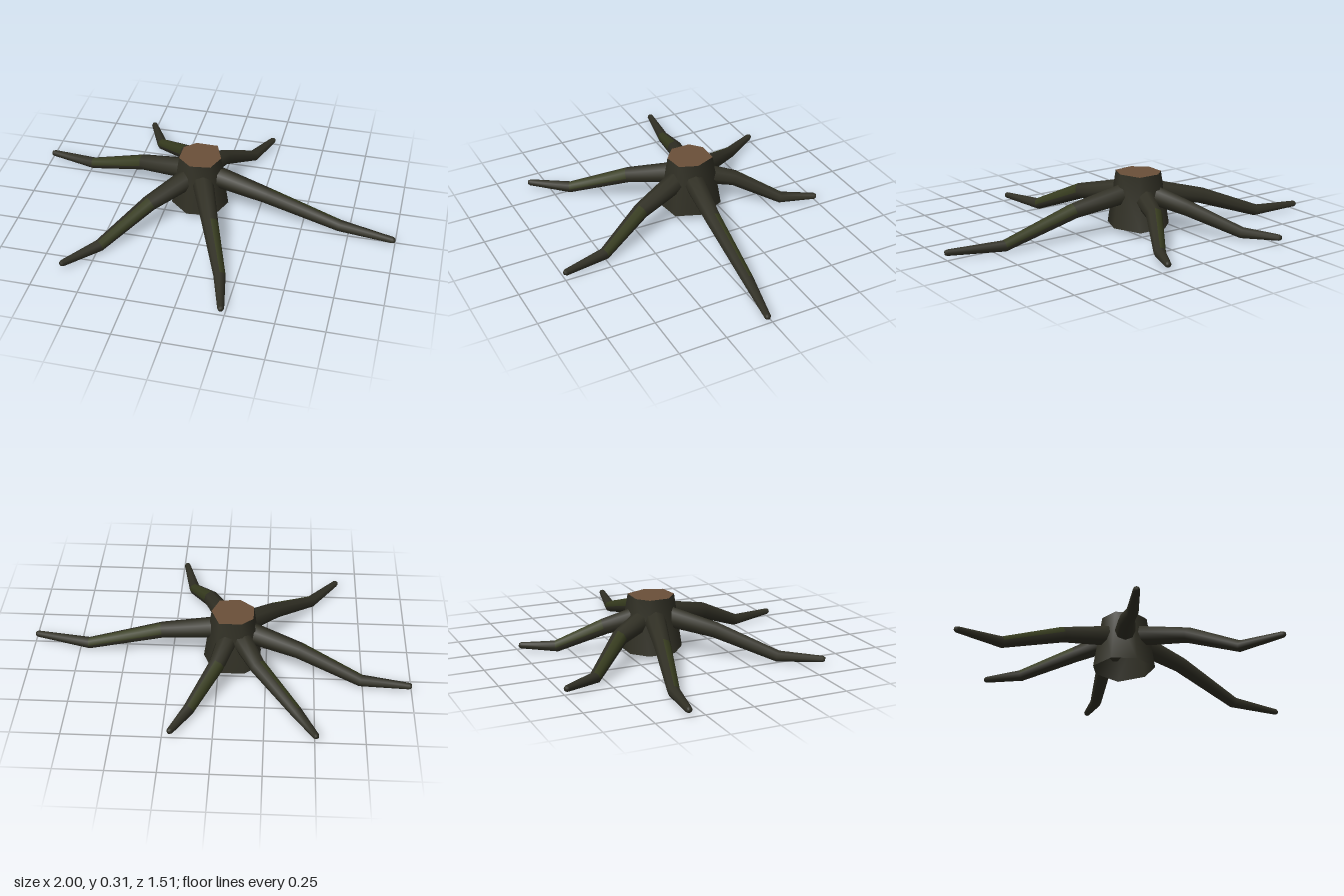
import * as THREE from 'three';

// The trunk is open below, so bark shows from both sides
const bark = new THREE.MeshStandardMaterial({ color: 0x313025, side: THREE.DoubleSide });
bark.name = 'bark';
const moss = new THREE.MeshStandardMaterial({ color: 0x373c1f });
moss.name = 'moss';
const cutWood = new THREE.MeshStandardMaterial({ color: 0x6b5039 });
cutWood.name = 'cut wood';

const CX = -0.073, CZ = -0.108, TOP = 0.312, BOTTOM = 0.027, SIDES = 8;

// Slightly uneven trunk outline in plan, [x, z] from the trunk axis
const OUTLINE = [
  [0.112, 0], [0.075, 0.095], [-0.032, 0.109], [-0.107, 0.045],
  [-0.107, -0.059], [-0.048, -0.112], [0.068, -0.111],
];

// Root centre lines in plan: bend, knee and tip as [x, z]
const ROOTS = [
  { name: 'leftRoot', plan: [[0.30, -0.06], [0.70, -0.04], [0.988, 0.022]] },
  { name: 'frontLeftRoot', plan: [[0.06, 0.24], [0.17, 0.50], [0.23, 0.738]] },
  { name: 'frontRightRoot', plan: [[-0.29, 0.15], [-0.49, 0.41], [-0.63, 0.592]] },
  { name: 'rightRoot', plan: [[-0.42, -0.205], [-0.74, -0.29], [-0.988, -0.328]] },
  { name: 'backRightRoot', plan: [[-0.21, -0.35], [-0.41, -0.56], [-0.505, -0.738]] },
  { name: 'backLeftRoot', plan: [[0.00, -0.35], [0.13, -0.57], [0.208, -0.738]] },
];

// Tapered limb: rings around a bent centre line, closed by a blunt tip
function makeRoot({ name, plan }) {
  const [bend, knee, tip] = plan.map(([x, z], i) => new THREE.Vector3(x, [0.148, 0.031, 0.034][i], z));
  const start = new THREE.Vector3(CX, 0.205, CZ);
  const base = start.clone().lerp(new THREE.Vector3(bend.x, 0.18, bend.z), 0.3);
  const end = tip.clone().sub(knee).setLength(0.012).add(tip);
  const path = [start, base, bend, knee, tip, end, end];
  const radii = [0.06, 0.056, 0.043, 0.031, 0.017, 0.011, 0];
  const up = new THREE.Vector3(0, 1, 0);
  const pos = [], barkFaces = [], mossFaces = [];

  path.forEach((p, i) => {
    const dir = path[Math.min(i + 1, 5)].clone().sub(path[Math.max(i - 1, 0)]).normalize();
    const side = new THREE.Vector3().crossVectors(dir, up).normalize();
    const rise = new THREE.Vector3().crossVectors(side, dir);
    for (let j = 0; j < SIDES; j++) {
      const a = (j / SIDES) * Math.PI * 2;
      const v = p.clone().addScaledVector(side, Math.cos(a) * radii[i]).addScaledVector(rise, Math.sin(a) * radii[i]);
      pos.push(v.x, v.y, v.z);
    }
  });
  for (let i = 0; i < path.length - 1; i++) {
    for (let j = 0; j < SIDES; j++) {
      const k = (j + 1) % SIDES;
      const a = i * SIDES + j, b = i * SIDES + k, c = a + SIDES, d = b + SIDES;
      // moss grows along the upper side of the sloping stretch
      const list = i === 2 && (j === 2 || j === 3) ? mossFaces : barkFaces;
      list.push(a, c, b);
      if (i < path.length - 2) list.push(b, c, d);
    }
  }
  const geo = new THREE.BufferGeometry();
  geo.setAttribute('position', new THREE.Float32BufferAttribute(pos, 3));
  geo.setIndex([...barkFaces, ...mossFaces]);
  geo.addGroup(0, barkFaces.length, 0);
  geo.addGroup(barkFaces.length, mossFaces.length, 1);
  geo.computeVertexNormals();
  const mesh = new THREE.Mesh(geo, [bark, moss]);
  mesh.name = name;
  return mesh;
}

// Flared bark wall, open below
function makeTrunk() {
  const n = OUTLINE.length, pos = [], index = [];
  for (const [y, s] of [[TOP, 1], [BOTTOM, 1.37]]) {
    for (const [x, z] of OUTLINE) pos.push(CX + x * s, y, CZ + z * s);
  }
  for (let i = 0; i < n; i++) {
    const k = (i + 1) % n;
    index.push(i, k, i + n, k, k + n, i + n);
  }
  const geo = new THREE.BufferGeometry();
  geo.setAttribute('position', new THREE.Float32BufferAttribute(pos, 3));
  geo.setIndex(index);
  geo.computeVertexNormals();
  const mesh = new THREE.Mesh(geo, bark);
  mesh.name = 'trunk';
  return mesh;
}

// Sawn top face
function makeCut() {
  const shape = new THREE.Shape(OUTLINE.map(([x, z]) => new THREE.Vector2(x, -z)));
  const mesh = new THREE.Mesh(new THREE.ShapeGeometry(shape).rotateX(-Math.PI / 2), cutWood);
  mesh.name = 'cutTop';
  mesh.position.set(CX, TOP, CZ);
  return mesh;
}

export function createModel() {
  const group = new THREE.Group();
  group.name = 'treeStump';
  group.add(makeTrunk(), makeCut());
  for (const root of ROOTS) group.add(makeRoot(root));
  return group;
}
